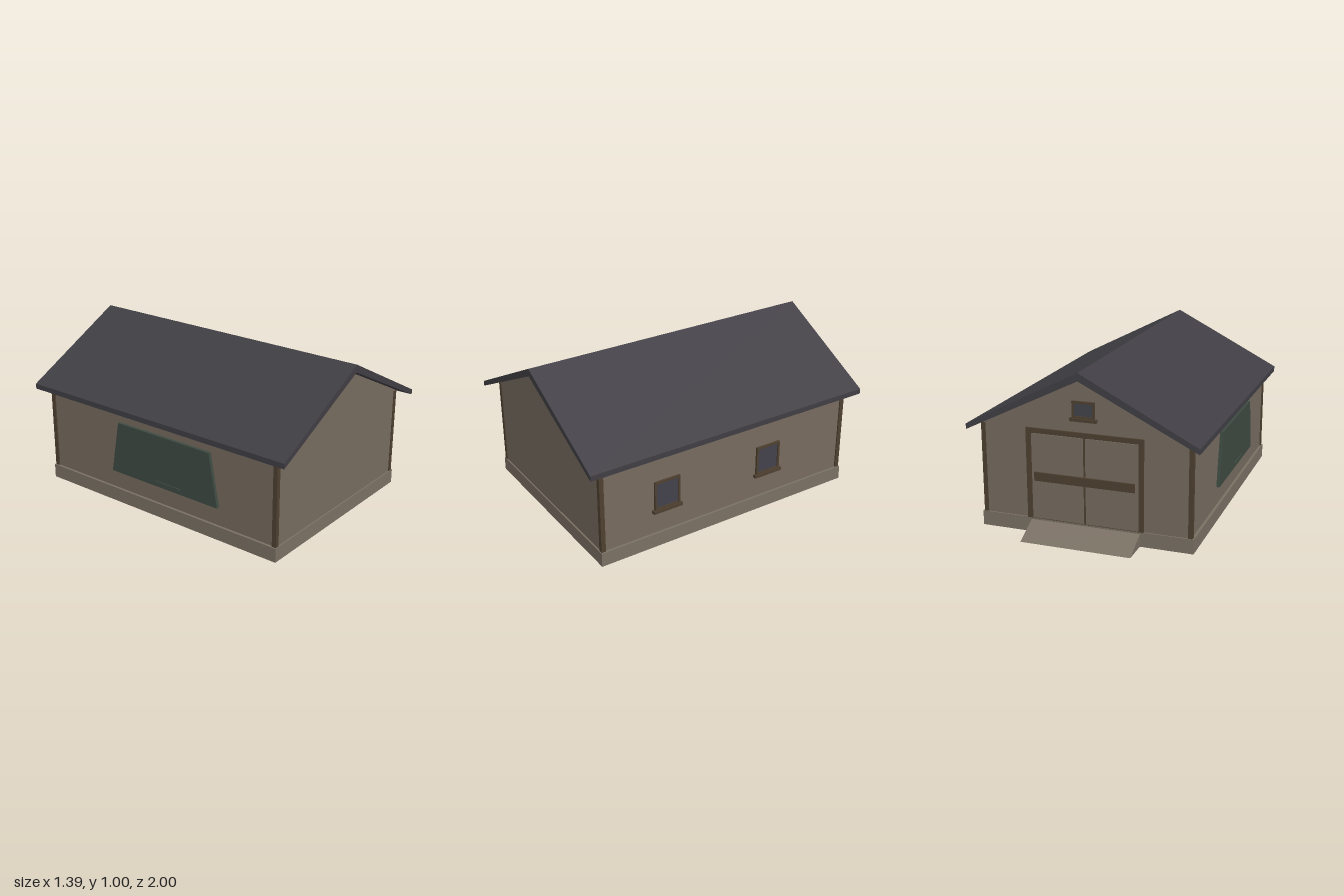
import * as THREE from 'three';

const mat = (name, color, side = THREE.FrontSide) => {
  const m = new THREE.MeshStandardMaterial({ color, side });
  m.name = name;
  return m;
};

export function createModel() {
  const wallMat = mat('plaster', 0x766b5f);
  const baseMat = mat('stone', 0x7a7064);
  const roofMat = mat('roofing', 0x403e44);
  const trimMat = mat('dark timber', 0x4e4030);
  const glassMat = mat('glass', 0x43424b);
  const boardMat = mat('green board', 0x3d4a41);
  const group = new THREE.Group();

  const FRONT = 0.916, BACK = -0.829, SIDE = 0.632;

  function add(name, geometry, material, parent = group) {
    const mesh = new THREE.Mesh(geometry, material);
    mesh.name = name;
    parent.add(mesh);
    return mesh;
  }
  // box given by its minimum and maximum corners
  function box(name, material, a, b, parent = group) {
    const g = new THREE.BoxGeometry(b[0] - a[0], b[1] - a[1], b[2] - a[2]);
    g.translate((a[0] + b[0]) / 2, (a[1] + b[1]) / 2, (a[2] + b[2]) / 2);
    return add(name, g, material, parent);
  }
  const polygon = pts => new THREE.Shape(pts.map(p => new THREE.Vector2(p[0], p[1])));
  const extrude = (shape, z0, z1) =>
    new THREE.ExtrudeGeometry(shape, { depth: z1 - z0, bevelEnabled: false }).translate(0, 0, z0);

  // plinth, gabled walls and roof
  box('plinth', baseMat, [-0.648, 0, -0.838], [0.648, 0.088, 0.925]);
  add('walls', extrude(polygon([
    [-SIDE, 0.08], [SIDE, 0.08], [SIDE, 0.643], [0, 0.954], [-SIDE, 0.643],
  ]), BACK, FRONT), wallMat);
  add('roof', extrude(polygon([
    [-0.695, 0.612], [0, 0.955], [0.695, 0.612], [0.695, 0.645], [0, 1.002], [-0.695, 0.645],
  ]), -0.914, 1), roofMat);

  // corner posts
  for (const s of [-1, 1]) {
    for (const [z0, z1] of [[0.893, 0.921], [-0.834, -0.806]]) {
      const x0 = s > 0 ? 0.614 : -0.64;
      box('cornerPost', trimMat, [x0, 0.088, z0], [x0 + 0.026, 0.637, z1]);
    }
  }

  // window facing local +z, with its bottom edge at y = 0
  function makeWindow(name, w, h, frame) {
    const win = new THREE.Group();
    win.name = name;
    const ring = polygon([[-w / 2, 0], [w / 2, 0], [w / 2, h], [-w / 2, h]]);
    const x = w / 2 - frame;
    ring.holes.push(polygon([[-x, frame], [-x, h - frame], [x, h - frame], [x, frame]]));
    add('windowFrame', extrude(ring, -0.005, 0.014), trimMat, win);
    box('windowGlass', glassMat, [-x, frame, -0.002], [x, h - frame, 0.006], win);
    box('windowSill', trimMat, [-w / 2 - 0.013, -0.016, -0.005], [w / 2 + 0.013, 0.003, 0.023], win);
    group.add(win);
    return win;
  }
  for (const z of [0.48, -0.245]) {
    const win = makeWindow('sideWindow', 0.172, 0.187, 0.013);
    win.position.set(SIDE, 0.243, z);
    win.rotation.y = Math.PI / 2;
  }
  const gableWindow = makeWindow('gableWindow', 0.136, 0.1, 0.013);
  gableWindow.position.set(0, 0.72, BACK);
  gableWindow.rotation.y = Math.PI;

  // double door on the back: surround, two leaves, centre gap and crossbar
  const door = new THREE.Group();
  door.name = 'barnDoor';
  group.add(door);
  const surround = polygon([[-0.355, 0.088], [0.355, 0.088], [0.355, 0.637], [-0.355, 0.637]]);
  surround.holes.push(polygon([[-0.327, 0.09], [-0.327, 0.61], [0.327, 0.61], [0.327, 0.09]]));
  add('doorFrame', extrude(surround, BACK - 0.012, BACK + 0.005), trimMat, door);
  box('doorGap', trimMat, [-0.327, 0.088, BACK - 0.002], [0.327, 0.61, BACK + 0.002], door);
  for (const s of [-1, 1]) {
    const c = s * 0.165;
    box('doorLeaf', wallMat, [c - 0.158, 0.088, BACK - 0.008], [c + 0.158, 0.604, BACK], door);
  }
  box('doorBar', trimMat, [-0.305, 0.322, BACK - 0.019], [0.305, 0.374, BACK - 0.006], door);

  // entrance ramp: a wedge drawn in profile and turned across the door
  const ramp = extrude(polygon([[0.83, 0], [1, 0], [0.838, 0.077], [0.83, 0.077]]), -0.333, 0.333);
  ramp.rotateY(Math.PI / 2);
  add('ramp', ramp, baseMat);

  // tapered board on the right wall, with its small ledge
  const board = extrude(polygon([[-0.305, 0.205], [0.515, 0.205], [0.455, 0.535], [-0.245, 0.535]]), 0, 0.022);
  board.rotateY(-Math.PI / 2);
  board.translate(-SIDE + 0.002, 0, 0);
  add('wallBoard', board, boardMat);
  box('boardLedge', boardMat, [-0.658, 0.226, 0.05], [-0.65, 0.242, 0.235]);

  return group;
}
